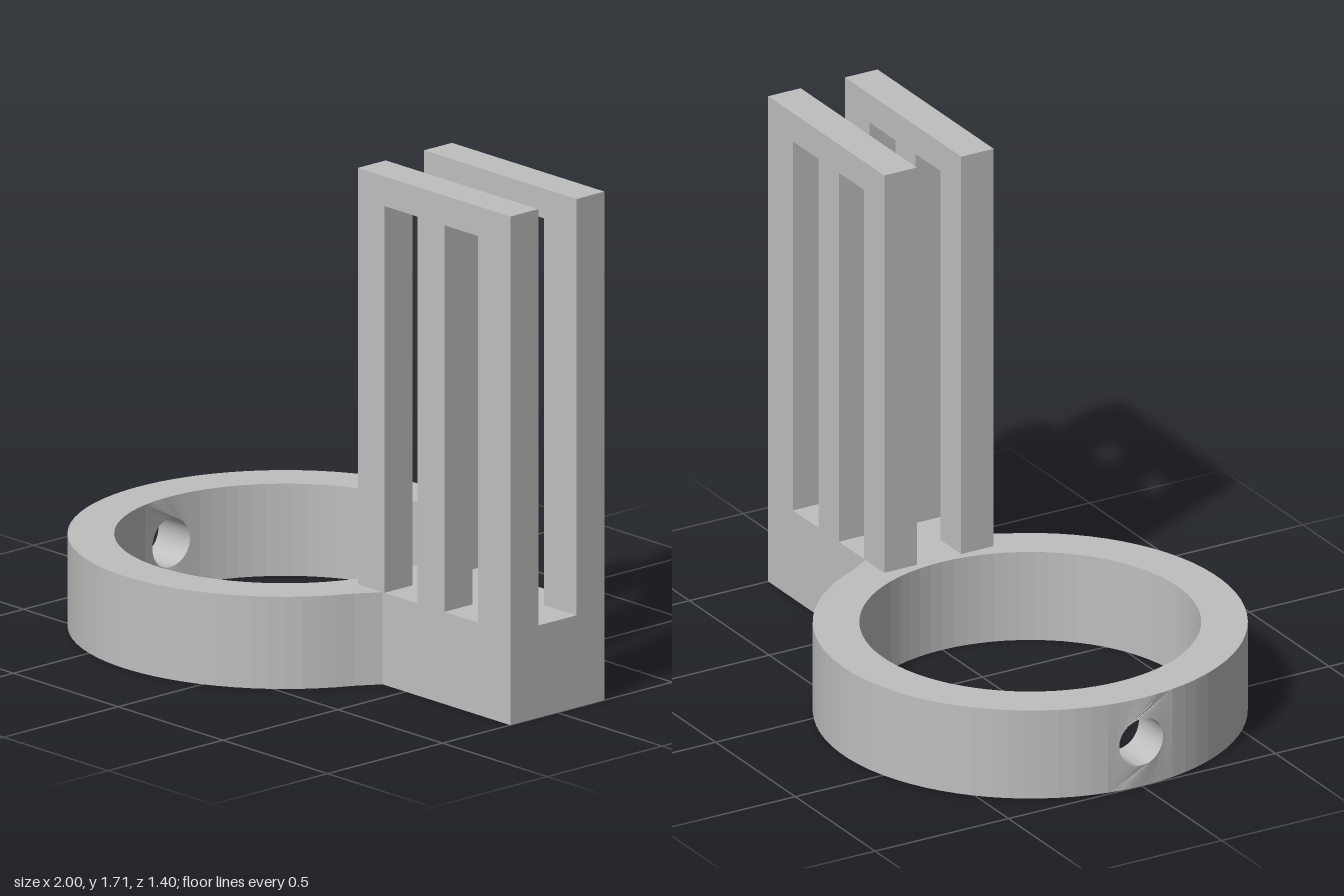
import * as THREE from 'three';
import { toCreasedNormals } from 'three/addons/utils/BufferGeometryUtils.js';

const CX = -0.3;          // ring centre
const R = 0.7, r = 0.55;  // ring radii
const H = 0.31;           // ring and base height
const W = 0.205;          // half width of the block
const GAP = 0.12;         // half width of the drilled ring section

const grey = new THREE.MeshStandardMaterial({ color: 0xbfbfbf });
grey.name = 'grey';

function arc(radius, from, to, steps) {
  return Array.from({ length: steps + 1 }, (_, i) => {
    const a = from + (to - from) * i / steps;
    return new THREE.Vector2(CX + radius * Math.cos(a), radius * Math.sin(a));
  });
}

function part(name, geometry) {
  const mesh = new THREE.Mesh(geometry, grey);
  mesh.name = name;
  return mesh;
}

// Open ring running into the rectangular block
function baseGeometry() {
  const outerEnd = Math.PI - Math.asin(GAP / R);
  const innerEnd = Math.PI - Math.asin(GAP / r);
  const start = 0.42;
  const shape = new THREE.Shape([
    new THREE.Vector2(1, -W), new THREE.Vector2(1, W), new THREE.Vector2(0.39, W),
    ...arc(R, start, outerEnd, 32),
    ...arc(r, innerEnd, -innerEnd, 72),
    ...arc(R, -outerEnd, -start, 32),
    new THREE.Vector2(0.39, -W),
  ]);
  return new THREE.ExtrudeGeometry(shape, { depth: H, bevelEnabled: false }).rotateX(-Math.PI / 2);
}

// Ring section with a round cross hole, bent to the ring's curvature
function drilledGeometry() {
  const n = 6, pts = [];
  for (let i = 0; i <= n; i++) pts.push(new THREE.Vector2(-GAP + 2 * GAP * i / n, 0));
  for (let i = 0; i <= n; i++) pts.push(new THREE.Vector2(GAP - 2 * GAP * i / n, H));
  const shape = new THREE.Shape(pts);
  shape.holes.push(new THREE.Path().absarc(0, H / 2, 0.082, 0, Math.PI * 2, true));
  const g = new THREE.ExtrudeGeometry(shape, { depth: 1, bevelEnabled: false, curveSegments: 32 });
  const p = g.attributes.position;
  for (let i = 0; i < p.count; i++) {
    const u = p.getX(i), radius = p.getZ(i) > 0.5 ? R : r;
    p.setXYZ(i, CX - Math.sqrt(radius * radius - u * u), p.getY(i), u);
  }
  return toCreasedNormals(g, 0.5);
}

// Upright plate: three posts joined by a top bar
function plateGeometry() {
  const outline = [
    [0.272, H], [0.4, H], [0.4, 1.61], [0.557, 1.61], [0.557, H], [0.685, H],
    [0.685, 1.61], [0.845, 1.61], [0.845, H], [1, H], [1, 1.71], [0.272, 1.71],
  ].map(([x, y]) => new THREE.Vector2(x, y));
  return new THREE.ExtrudeGeometry(new THREE.Shape(outline), { depth: 0.122, bevelEnabled: false });
}

export function createModel() {
  const model = new THREE.Group();
  model.name = 'ringBracket';
  model.add(part('ringAndBlock', baseGeometry()));
  model.add(part('drilledRingSection', drilledGeometry()));

  const plate = plateGeometry();
  const front = part('frontPlate', plate);
  front.position.z = W - 0.122;
  const back = part('backPlate', plate);
  back.position.z = -W;
  model.add(front, back);
  return model;
}
